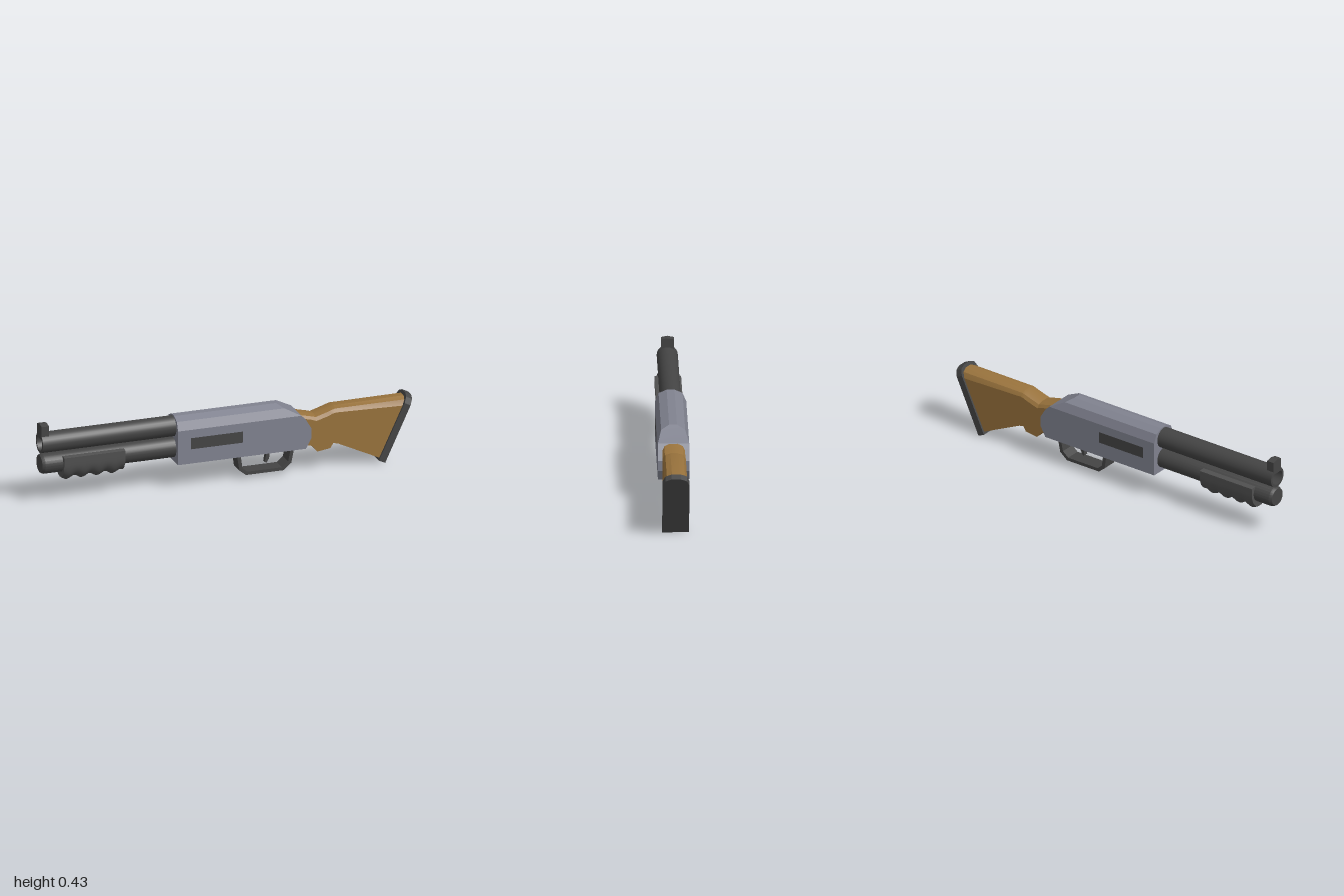
import * as THREE from 'three';
import { toCreasedNormals } from 'three/addons/utils/BufferGeometryUtils.js';

const STEEL = 0x444444, RECEIVER = 0x80828f, WOOD = 0x98723c, GRIP = 0x505050;

function part(group, name, geometry, color) {
  const mesh = new THREE.Mesh(geometry, new THREE.MeshStandardMaterial({ color }));
  mesh.name = name;
  group.add(mesh);
  return mesh;
}

// Closed loop from one half, listed top to bottom as [x, y, z]
const mirrorLoop = (half) => [...half, ...half.slice().reverse().map(([x, y, z]) => [x, y, -z])];

// Skins loops running along +x and caps both ends
function loft(loops, crease) {
  const pos = [];
  const v = (p) => new THREE.Vector3(...p);
  const tri = (a, b, c) => {
    const area = v(b).sub(v(a)).cross(v(c).sub(v(a))).length();
    if (area > 1e-9) pos.push(...a, ...b, ...c);
  };
  const n = loops[0].length;
  for (let k = 0; k < loops.length - 1; k++) {
    const s = loops[k], t = loops[k + 1];
    for (let i = 0; i < n; i++) {
      const j = (i + 1) % n;
      tri(s[i], s[j], t[j]);
      tri(s[i], t[j], t[i]);
    }
  }
  const first = loops[0], last = loops[loops.length - 1];
  for (let i = 1; i < n - 1; i++) {
    tri(first[0], first[i + 1], first[i]);
    tri(last[0], last[i], last[i + 1]);
  }
  const g = new THREE.BufferGeometry();
  g.setAttribute('position', new THREE.Float32BufferAttribute(pos, 3));
  g.computeVertexNormals();
  return toCreasedNormals(g, crease);
}

// Turned part along x; the profile is [radius, distance towards the muzzle]
function turned(profile, y) {
  const g = new THREE.LatheGeometry(profile.map(([r, d]) => new THREE.Vector2(r, d)), 24);
  return toCreasedNormals(g.rotateZ(Math.PI / 2).translate(0, y, 0), 0.5);
}

// Side outline extruded to a width centred on z = 0
function plate(points, width) {
  const shape = new THREE.Shape(points.map(([x, y]) => new THREE.Vector2(x, y)));
  const g = new THREE.ExtrudeGeometry(shape, { depth: width, bevelEnabled: false });
  return toCreasedNormals(g.translate(0, 0, -width / 2), 0.4);
}

export function createModel() {
  const model = new THREE.Group();

  // Barrel with open muzzle, and magazine tube below it
  part(model, 'barrel', turned([[0.054, 0.27], [0.054, 1], [0.041, 1], [0.041, 0.8], [0, 0.8]], 0.324), STEEL);
  part(model, 'magazineTube', turned([[0.054, 0.27], [0.054, 0.985], [0.046, 1], [0, 1]], 0.21), STEEL);

  // Front sight with a shallow ridge
  const sight = (x) => mirrorLoop([[x, 0.427, 0], [x, 0.42, 0.033], [x, 0.35, 0.033]]);
  part(model, 'frontSight', loft([sight(-1), sight(-0.96)], 0.1), STEEL);

  // Receiver: rounded section cut down by the sloping rear
  const section = [[0.02, 0.383], [0.061, 0.365], [0.08, 0.32], [0.08, 0.137]];
  const widthAt = (y) => {
    for (let i = 0; i < 3; i++) {
      const [z0, y0] = section[i], [z1, y1] = section[i + 1];
      if (y >= y1) return z0 + (z1 - z0) * (y0 - y) / (y0 - y1);
    }
    return 0.08;
  };
  const receiverLoop = ([x, top, bottom]) => mirrorLoop(section.map(([, y]) => {
    const h = Math.max(bottom, Math.min(top, y));
    return [x, h, widthAt(h)];
  }));
  const stations = [[-0.28, 0.383, 0.137], [0.27, 0.383, 0.137], [0.3, 0.365, 0.137],
    [0.385, 0.32, 0.137], [0.41, 0.295, 0.137], [0.44, 0.245, 0.192]];
  part(model, 'receiver', loft(stations.map(receiverLoop), 0.2), RECEIVER);

  // Port on each side of the receiver
  for (const side of [1, -1]) {
    const port = part(model, side > 0 ? 'frontPort' : 'rearPort', new THREE.BoxGeometry(0.28, 0.06, 0.01), STEEL);
    port.position.set(-0.07, 0.245, side * 0.0758);
  }

  // Ribbed sliding fore-end
  const pump = [];
  for (let k = 0; k <= 32; k++) {
    const t = k / 32, x = -0.89 + 0.33 * t;
    const depth = 0.089 + 0.009 * Math.cos(t * Math.PI * 8 - 2.2);
    const half = [[x, 0.25, 0.058], [x, 0.248, 0.068]];
    for (let i = 0; i <= 8; i++) {
      const a = i / 8 * Math.PI / 2;
      half.push([x, 0.21 - depth * Math.sin(a), 0.068 * Math.cos(a)]);
    }
    pump.push(mirrorLoop(half));
  }
  part(model, 'foreEnd', loft(pump, 0.7), GRIP);

  // Trigger guard and trigger
  part(model, 'triggerGuard', plate([[0.05, 0.15], [0.064, 0.05], [0.1, 0.02], [0.302, 0.02], [0.345, 0.055],
    [0.365, 0.15], [0.346, 0.15], [0.328, 0.064], [0.295, 0.037], [0.108, 0.037], [0.082, 0.058], [0.069, 0.15]], 0.08), STEEL);
  part(model, 'trigger', plate([[0.212, 0.15], [0.219, 0.105], [0.212, 0.066], [0.222, 0.062],
    [0.236, 0.085], [0.238, 0.15]], 0.024), STEEL);

  // Stock: each station is top x, top y, bottom x, bottom y
  const slab = ([tx, ty, bx, by], w, drop) => {
    const half = [[0, 0.35], [drop * 0.3, 0.8], [drop, 1], [1, 1]];
    return mirrorLoop(half.map(([t, f]) => [tx + (bx - tx) * t, ty + (by - ty) * t, w * f]));
  };
  const stock = [[0.3, 0.345, 0.3, 0.16], [0.4, 0.315, 0.4, 0.152], [0.45, 0.303, 0.45, 0.14], [0.475, 0.297, 0.48, 0.105],
    [0.545, 0.319, 0.55, 0.115], [0.56, 0.324, 0.565, 0.14], [0.58, 0.33, 0.59, 0.135], [0.962, 0.336, 0.825, 0.023]];
  part(model, 'stock', loft(stock.map((s) => slab(s, 0.058, 0.13)), 0.3), WOOD);

  // Butt plate
  part(model, 'buttPlate', loft([slab([0.966, 0.352, 0.808, 0.016], 0.068, 0.12),
    slab([0.998, 0.336, 0.842, 0], 0.068, 0.12)], 0.2), STEEL);

  return model;
}
